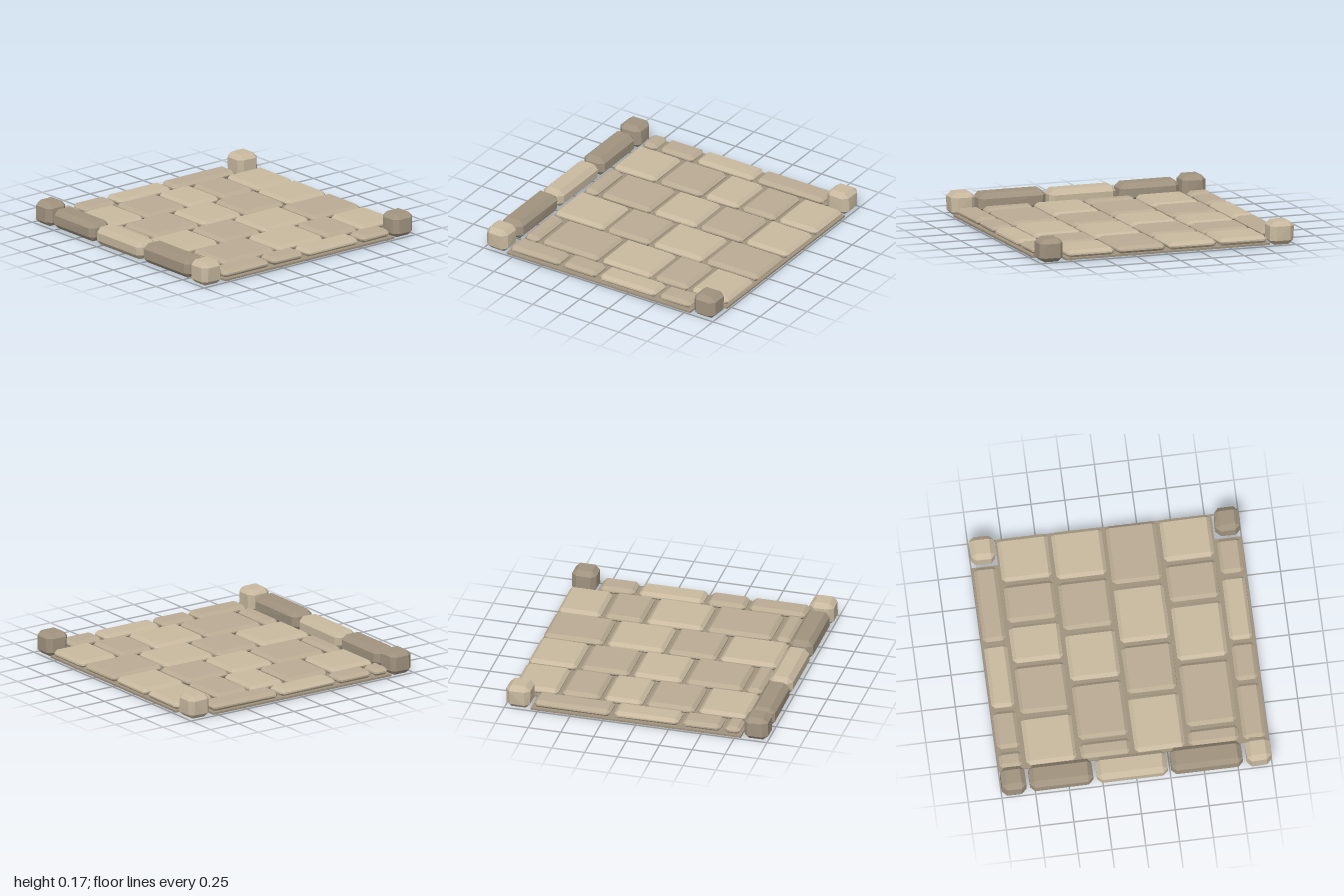
import * as THREE from 'three';
import { ConvexGeometry } from 'three/addons/geometries/ConvexGeometry.js';

const TONES = { L: 0xc8b99f, M: 0xbaab93, D: 0xa0937f };
const materials = {};
for (const key in TONES) {
  materials[key] = new THREE.MeshStandardMaterial({ color: TONES[key], flatShading: true });
}

// Small seeded generator for hand-cut irregularity
let seed = 11;
const wobble = (amount) => {
  seed = (seed * 16807) % 2147483647;
  return (seed / 2147483647 - 0.5) * 2 * amount;
};

// Stone block with every edge chamfered: flat top and bottom, octagonal waist
function stone(name, tone, [x0, x1], [y0, y1], [z0, z1], cut, cutY, jitter) {
  const points = [];
  const cx = (x0 + x1) / 2, cz = (z0 + z1) / 2;
  const hx = (x1 - x0) / 2, hz = (z1 - z0) / 2;
  const add = (x, y, z) => points.push(new THREE.Vector3(
    cx + x - Math.sign(x) * Math.abs(wobble(jitter)),
    y,
    cz + z - Math.sign(z) * Math.abs(wobble(jitter))));
  for (const sx of [-1, 1]) {
    for (const sz of [-1, 1]) {
      for (const y of [y0, y1]) add(sx * (hx - cut), y, sz * (hz - cut));
      for (const y of [y0 + cutY, y1 - cutY]) {
        add(sx * hx, y, sz * (hz - cut));
        add(sx * (hx - cut), y, sz * hz);
      }
    }
  }
  const mesh = new THREE.Mesh(new ConvexGeometry(points), materials[tone]);
  mesh.name = name;
  return mesh;
}

export function createModel() {
  seed = 11;
  const model = new THREE.Group();
  model.name = 'pavedFloor';

  // Thin base slab, notched at the two corners on the open side
  const outline = new THREE.Shape([
    [-0.8, -1], [0.8, -1], [0.8, -0.8], [0.995, -0.8],
    [0.995, 0.8], [0.8, 0.8], [0.8, 1], [-0.8, 1],
  ].map(([x, y]) => new THREE.Vector2(x, y)));
  const slabGeometry = new THREE.ExtrudeGeometry(outline, { depth: 0.015, bevelEnabled: false });
  slabGeometry.rotateX(-Math.PI / 2).translate(0, 0.01, 0);
  const slab = new THREE.Mesh(slabGeometry, materials.D);
  slab.name = 'baseSlab';
  model.add(slab);

  // Paving rows: depth range, left edges of the stones, right end, tones
  const rows = [
    [[-0.99, -0.815], [-0.79, -0.64, -0.32, 0.2], 0.785, 'MMLM'],
    [[-0.79, -0.415], [-0.79, -0.39, 0.01, 0.33, 0.65], 0.99, 'LMLML'],
    [[-0.39, -0.015], [-0.79, -0.64, -0.18, 0.22, 0.62], 0.99, 'MMLML'],
    [[0.01, 0.385], [-0.79, -0.33, 0.07, 0.53], 0.99, 'LMLM'],
    [[0.41, 0.785], [-0.79, -0.64, -0.12, 0.34, 0.66], 0.99, 'MMLML'],
    [[0.81, 0.985], [-0.79, -0.33, -0.01, 0.51], 0.785, 'MMLM'],
  ];
  const paving = new THREE.Group();
  paving.name = 'pavingStones';
  for (const [z, starts, end, tones] of rows) {
    starts.forEach((x, i) => {
      const right = i + 1 < starts.length ? starts[i + 1] - 0.025 : end;
      paving.add(stone('pavingStone', tones[i], [x, right], [0.02, 0.078], z, 0.026, 0.023, 0.004));
    });
  }
  model.add(paving);

  // Raised kerb along one side
  const kerb = new THREE.Group();
  kerb.name = 'kerb';
  for (const [z0, z1, top, tone] of [
    [-0.79, -0.315, 0.152, 'D'], [-0.295, 0.235, 0.145, 'L'], [0.255, 0.79, 0.157, 'D'],
  ]) {
    kerb.add(stone('kerbStone', tone, [-0.995, -0.81], [0.008, top], [z0, z1], 0.036, 0.038, 0.006));
  }
  model.add(kerb);

  // Corner blocks
  for (const [sx, sz, tone] of [[-1, -1, 'D'], [1, -1, 'L'], [-1, 1, 'L'], [1, 1, 'D']]) {
    const span = (s) => (s < 0 ? [-1, -0.81] : [0.81, 1]);
    model.add(stone('cornerBlock', tone, span(sx), [0, 0.175], span(sz), 0.036, 0.034, 0.007));
  }
  return model;
}
